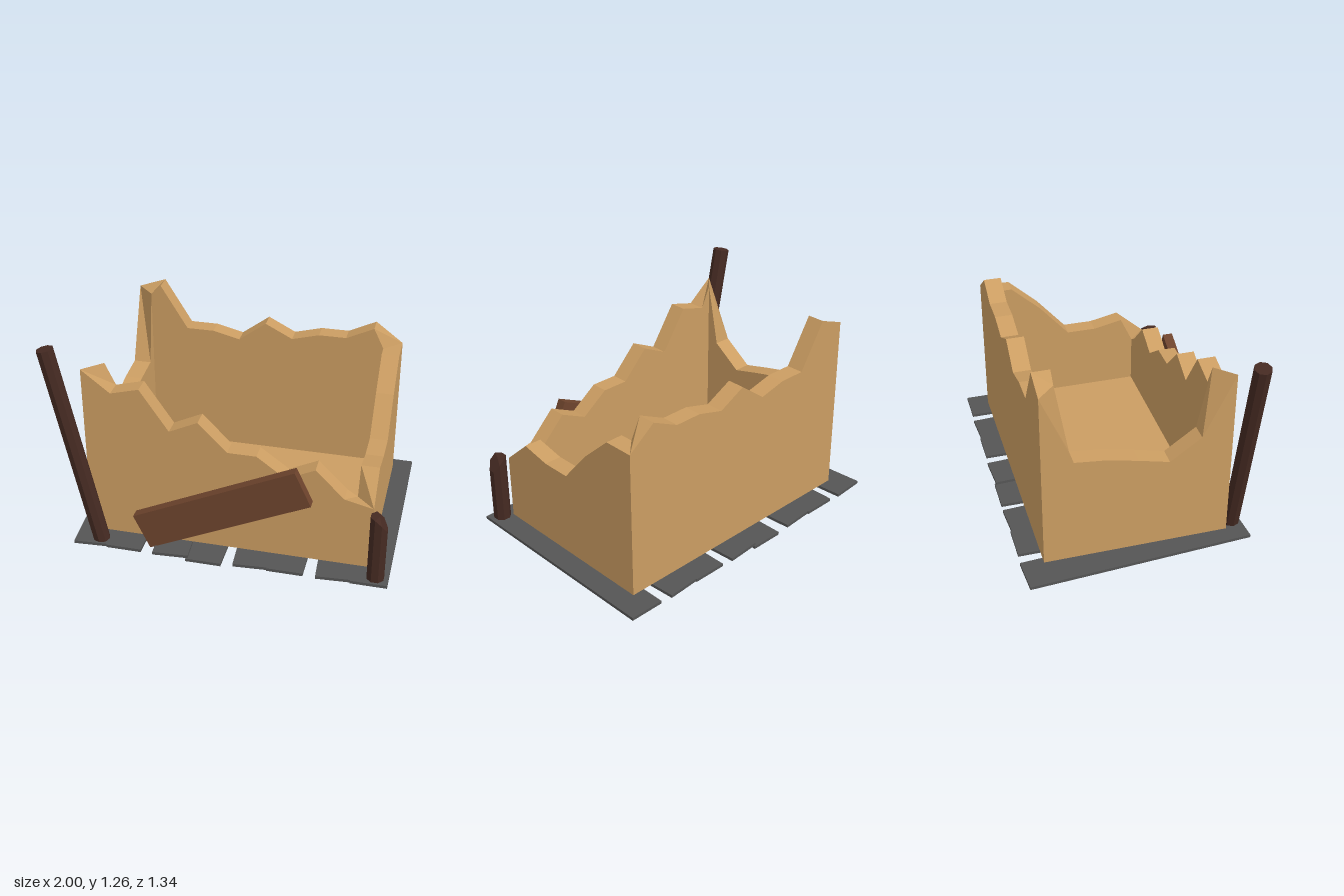
import * as THREE from 'three';

const mat = (name, color) => {
  const m = new THREE.MeshStandardMaterial({ color, flatShading: true });
  m.name = name;
  return m;
};

export function createModel() {
  const group = new THREE.Group();
  const clay = mat('sandy clay', 0xcb9d62);
  const timber = mat('dark timber', 0x452a22);
  const wood = mat('brown wood', 0x6e442d);
  const slate = mat('grey plank', 0x555555);

  const add = (name, geo, material, x = 0, y = 0, z = 0) => {
    const mesh = new THREE.Mesh(geo, material);
    mesh.name = name;
    mesh.position.set(x, y, z);
    group.add(mesh);
    return mesh;
  };

  // Broken wall: heights along each side, evenly spaced, running around the box
  const X0 = -0.78, X1 = 0.885, Z0 = -0.543, Z1 = 0.543, T = 0.105, BASE = 0.057;
  const sides = [
    { from: [X0, Z1], to: [X1, Z1], h: [1.12, 0.99, 1.035, 0.79, 0.87, 0.7, 0.7, 0.58, 0.66, 0.495, 0.455] },
    { from: [X1, Z1], to: [X1, Z0], h: [0.455, 0.615, 0.577, 0.577, 0.785, 0.95, 0.95] },
    { from: [X1, Z0], to: [X0, Z0], h: [0.95, 1.075, 0.995, 0.995, 0.95, 1.035, 0.91, 0.95, 0.95, 1.22, 1.16] },
    { from: [X0, Z0], to: [X0, Z1], h: [1.16, 0.72, 0.7, 0.66, 0.615, 0.745, 1.12] },
  ];
  const pos = [];
  const quad = (a, b, c, d) => pos.push(...a, ...b, ...c, ...a, ...c, ...d);
  const clamp = THREE.MathUtils.clamp;
  for (const { from, to, h } of sides) {
    // Outer and inner points, at the base and at the broken edge
    const cols = h.map((y, i) => {
      const t = i / (h.length - 1);
      const x = from[0] + (to[0] - from[0]) * t;
      const z = from[1] + (to[1] - from[1]) * t;
      const xi = clamp(x, X0 + T, X1 - T), zi = clamp(z, Z0 + T, Z1 - T);
      return { ob: [x, BASE, z], ot: [x, y, z], ib: [xi, BASE, zi], it: [xi, y, zi] };
    });
    for (let i = 0; i < cols.length - 1; i++) {
      const a = cols[i], b = cols[i + 1];
      quad(a.ob, b.ob, b.ot, a.ot);
      quad(a.ot, b.ot, b.it, a.it);
      quad(b.ib, a.ib, a.it, b.it);
      quad(a.ib, b.ib, b.ob, a.ob);
    }
  }
  const wallGeo = new THREE.BufferGeometry();
  wallGeo.setAttribute('position', new THREE.Float32BufferAttribute(pos, 3));
  wallGeo.computeVertexNormals();
  add('brokenWalls', wallGeo, clay);

  // Floor between the walls
  add('floor', new THREE.BoxGeometry(X1 - X0 - 2 * T, 0.1, Z1 - Z0 - 2 * T), clay,
    (X0 + X1) / 2, BASE + 0.05, 0);

  // Base planks: every other one is skewed, one has sunk
  for (let i = 0; i < 8; i++) {
    const sunk = i === 3;
    const plank = add('basePlank', new THREE.BoxGeometry(0.21, 0.018, 1.33), slate,
      -0.787 + i * 0.2403, sunk ? 0.01 : 0.027, 0);
    if (i % 2 === 0) plank.rotation.y = 0.064;
  }

  // Leaning post
  const post = add('leaningPost', new THREE.CylinderGeometry(0.05, 0.05, 1.25, 8), timber, -0.825, 0.642, 0.603);
  post.rotation.z = 0.204;

  // Snapped post: the top slopes down on its left half
  const stump = new THREE.CylinderGeometry(0.052, 0.052, 0.42, 8, 1, false, Math.PI / 8);
  const p = stump.attributes.position;
  for (let i = 0; i < p.count; i++) {
    if (p.getY(i) > 0) p.setY(i, 0.21 - Math.max(0, p.getX(i)) * 1.7);
  }
  stump.computeVertexNormals();
  add('snappedPost', stump, timber, 0.925, 0.245, 0.603);

  // Fallen board resting against the front wall
  const board = add('fallenBoard', new THREE.BoxGeometry(1.042, 0.228, 0.06), wood, 0.023, 0.34, 0.575);
  board.rotation.z = 0.436;

  return group;
}
